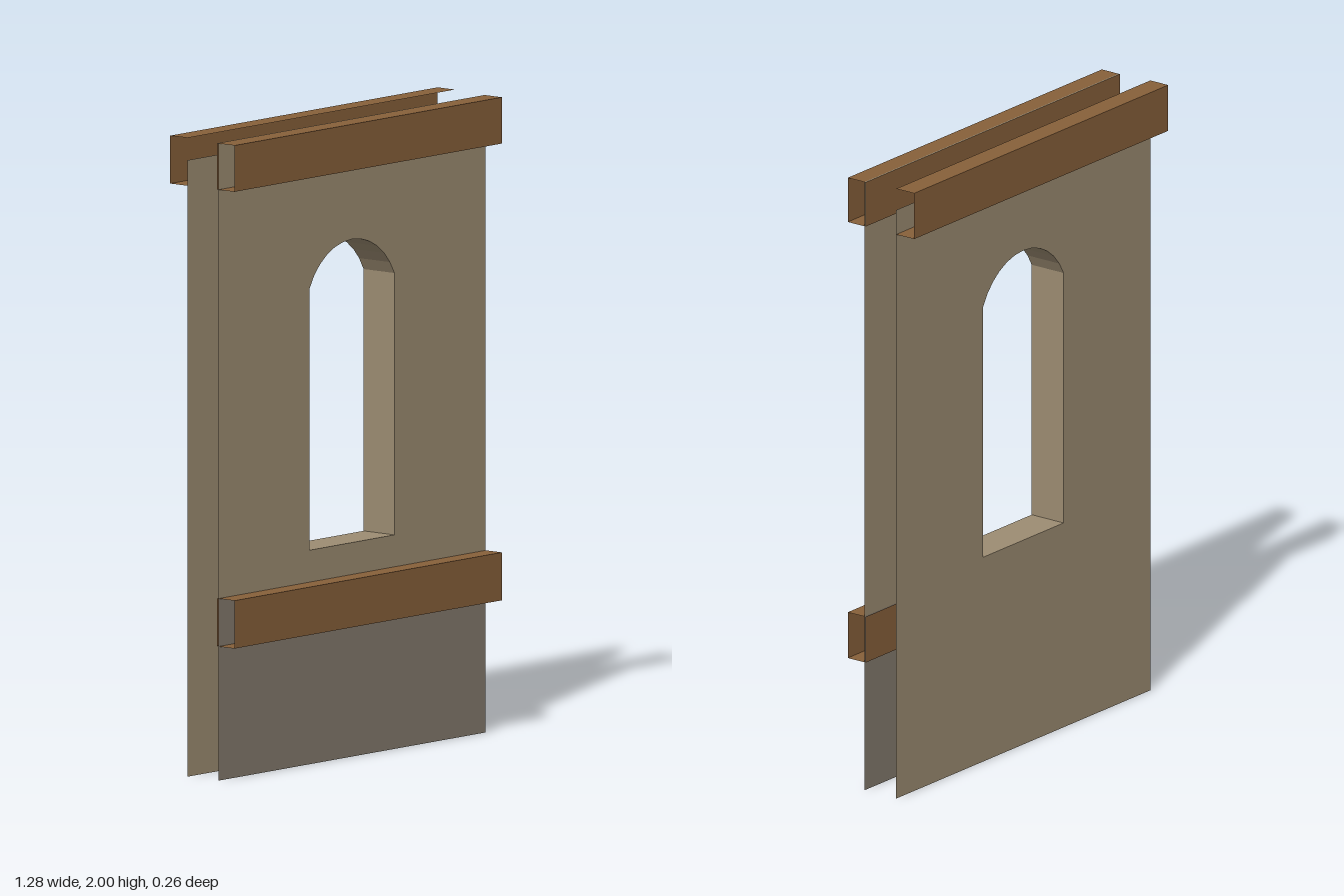
import * as THREE from 'three';

const HALF = 0.64;      // half width of the wall
const FRONT = 0.065;    // front wall plane
const BACK = -0.06;     // back wall plane

// Flat-shaded open sheet: sweeps a path of points along a vector
function ribbon(path, sweep) {
  const pos = [];
  for (let i = 0; i < path.length - 1; i++) {
    const a = path[i], b = path[i + 1];
    const c = b.clone().add(sweep), d = a.clone().add(sweep);
    for (const p of [a, b, c, a, c, d]) pos.push(p.x, p.y, p.z);
  }
  const g = new THREE.BufferGeometry();
  g.setAttribute('position', new THREE.Float32BufferAttribute(pos, 3));
  g.computeVertexNormals();
  return g;
}

// Window outline: straight jambs under a shallow segmental arch
function windowOutline() {
  const w = 0.203, springY = 1.49, r = 0.223, cy = 1.397, n = 12;
  const start = Math.atan2(springY - cy, w);
  const pts = [new THREE.Vector2(-w, 0.67), new THREE.Vector2(w, 0.67)];
  for (let i = 0; i <= n; i++) {
    const t = start + (Math.PI - 2 * start) * i / n;
    pts.push(new THREE.Vector2(r * Math.cos(t), cy + r * Math.sin(t)));
  }
  return pts;
}

function panel(y0, y1, hole) {
  const s = new THREE.Shape([
    new THREE.Vector2(-HALF, y0), new THREE.Vector2(HALF, y0),
    new THREE.Vector2(HALF, y1), new THREE.Vector2(-HALF, y1)]);
  if (hole) s.holes.push(new THREE.Path(hole));
  return new THREE.ShapeGeometry(s);
}

export function createModel() {
  const mat = (name, color) => {
    const m = new THREE.MeshStandardMaterial({ color, side: THREE.DoubleSide });
    m.name = name;
    return m;
  };
  const plaster = mat('plaster', 0x9c8c72);
  const stone = mat('stone', 0x847a6d);
  const wood = mat('wood', 0x87603a);

  const group = new THREE.Group();
  group.name = 'wallWithWindow';
  const add = (name, geometry, material, z = 0) => {
    const m = new THREE.Mesh(geometry, material);
    m.name = name;
    m.position.z = z;
    group.add(m);
  };
  const along = new THREE.Vector3(2 * HALF, 0, 0);
  const section = pts => pts.map(([y, z]) => new THREE.Vector3(-HALF, y, z));

  // Wall faces
  const outline = windowOutline();
  add('frontWall', panel(0.57, 1.995, outline), plaster, FRONT);
  add('frontBase', panel(0, 0.57), stone, FRONT);
  add('backWall', panel(0, 1.93, outline), plaster, BACK);
  add('wallTopEdge', ribbon(section([[1.995, 0.06], [1.995, FRONT]]), along), plaster);

  // Window reveal joining the two faces
  const loop = [...outline, outline[0]].map(p => new THREE.Vector3(p.x, p.y, BACK));
  add('windowReveal', ribbon(loop, new THREE.Vector3(0, 0, FRONT - BACK)), plaster);

  // Hollow beams, open at both ends
  const beam = (name, y0, y1, inner, outer) =>
    add(name, ribbon(section([[y0, inner], [y0, outer], [y1, outer], [y1, inner]]), along), wood);
  beam('frontTopBeam', 1.85, 1.995, FRONT, 0.13);
  beam('frontLowerBeam', 0.42, 0.57, FRONT, 0.13);
  beam('backTopBeam', 1.85, 2, BACK, -0.13);

  // Inner sides of the front beams
  add('topBeamInnerSide', panel(1.85, 1.995), wood, 0.06);
  add('lowerBeamInnerSide', panel(0.42, 0.57), wood, 0.06);

  return group;
}
